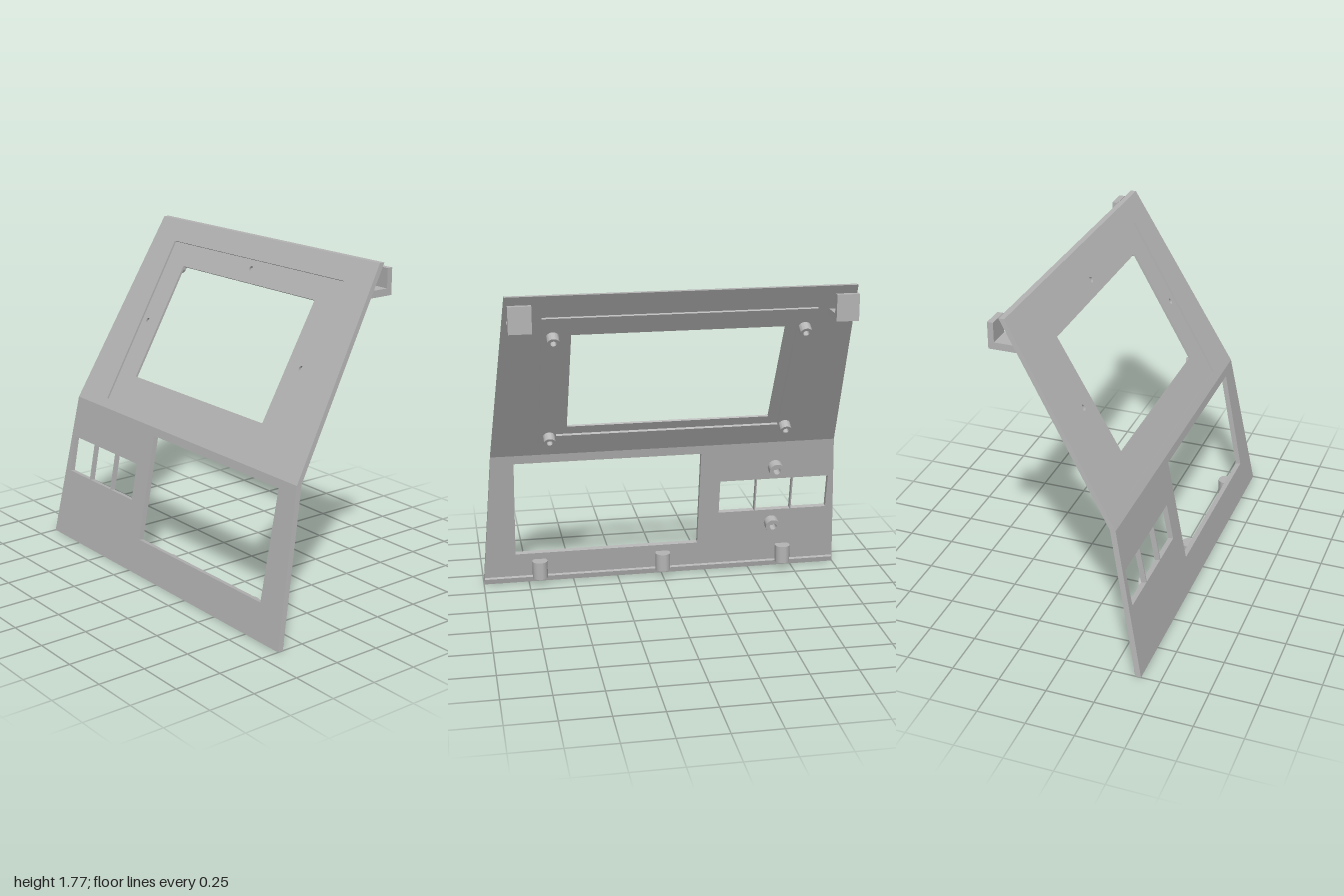
import * as THREE from 'three';
import { toCreasedNormals } from 'three/addons/utils/BufferGeometryUtils.js';

// Side profile of the outer face as [y, z]
const BOTTOM = [0, 0.4], BEND = [0.79, 0.251], TOP = [1.77, -0.308];
const WALL = 0.029; // wall thickness measured along z

function rect(x0, x1, y0, y1, Type = THREE.Path) {
  const p = new Type();
  p.moveTo(x0, y0);
  p.lineTo(x1, y0);
  p.lineTo(x1, y1);
  p.lineTo(x0, y1);
  p.closePath();
  return p;
}

// Outward normal of a sloped section
function normalOf([a, b]) {
  const dy = b[0] - a[0], dz = b[1] - a[1], l = Math.hypot(dy, dz);
  return { y: -dz / l, z: dy / l };
}

// Point on a sloped section at height y and depth t behind its outer face
function onSection(section, x, y, t) {
  const [a, b] = section, n = normalOf(section);
  const z = a[1] + (b[1] - a[1]) * (y - a[0]) / (b[0] - a[0]);
  return new THREE.Vector3(x, y - n.y * t, z - n.z * t);
}

// Lay a front-view shape on a sloped section, between depths t0 and t1.
// Section ends are cut level; all other edges are cut square to the face.
function slab(shape, section, t0, t1) {
  const geo = new THREE.ExtrudeGeometry(shape, { depth: 1, bevelEnabled: false, curveSegments: 10 });
  const pos = geo.attributes.position, n = normalOf(section);
  for (let i = 0; i < pos.count; i++) {
    const x = pos.getX(i), y = pos.getY(i), t = t0 + (1 - pos.getZ(i)) * (t1 - t0);
    const p = onSection(section, x, y, t);
    if (section.some((e) => Math.abs(e[0] - y) < 1e-4)) {
      p.copy(onSection(section, x, y, 0));
      p.z -= t / n.z;
    }
    pos.setXYZ(i, p.x, p.y, p.z);
  }
  geo.computeVertexNormals();
  return geo;
}

// Hollow round boss, closed at its base and open at its tip
function bossGeometry(r, hole, length) {
  const pts = [[0, 0], [r, 0], [r, length], [hole, length], [hole, 0.015], [0, 0.015]];
  const lathe = new THREE.LatheGeometry(pts.map(([x, y]) => new THREE.Vector2(x, y)), 28);
  return toCreasedNormals(lathe, 0.6);
}

export function createModel() {
  const model = new THREE.Group();
  const grey = new THREE.MeshStandardMaterial({ color: 0xb4b4b4 });
  grey.name = 'plain grey';
  const add = (name, geo) => {
    const mesh = new THREE.Mesh(geo, grey);
    mesh.name = name;
    model.add(mesh);
    return mesh;
  };

  const lower = [BOTTOM, BEND], upper = [BEND, TOP];
  const halfWidth = (y) => 1 - 0.125 * y / TOP[0];
  const trapezoid = (y0, y1) => new THREE.Shape([
    new THREE.Vector2(-halfWidth(y0), y0), new THREE.Vector2(halfWidth(y0), y0),
    new THREE.Vector2(halfWidth(y1), y1), new THREE.Vector2(-halfWidth(y1), y1),
  ]);

  // Lower panel with one large opening and three switch openings
  const lowerShape = trapezoid(BOTTOM[0], BEND[0]);
  lowerShape.holes.push(rect(-0.2, 0.822, 0.185, 0.747));
  for (const [x0, x1] of [[-0.93, -0.729], [-0.722, -0.524], [-0.517, -0.315]]) {
    lowerShape.holes.push(rect(x0, x1, 0.37, 0.567));
  }
  add('lowerPanel', slab(lowerShape, lower, 0, WALL * normalOf(lower).z));

  // Upper panel with the cut-out for the screen frame
  const upperShape = trapezoid(BEND[0], TOP[0]);
  upperShape.holes.push(rect(-0.692, 0.692, 0.835, 1.662));
  add('upperPanel', slab(upperShape, upper, 0, WALL * normalOf(upper).z));

  // Screen frame: thin front with screw holes, thicker rim with a pocket behind
  const frameShape = rect(-0.692, 0.692, 0.835, 1.662, THREE.Shape);
  frameShape.holes.push(rect(-0.543, 0.543, 0.981, 1.553));
  for (const [x, y] of [[0, 1.618], [-0.645, 1.252], [0.645, 1.252]]) {
    const hole = new THREE.Path();
    hole.absarc(x, y, 0.014, 0, Math.PI * 2);
    frameShape.holes.push(hole);
  }
  add('screenFrame', slab(frameShape, upper, 0.01, 0.022));
  const rimShape = rect(-0.692, 0.692, 0.835, 1.662, THREE.Shape);
  rimShape.holes.push(rect(-0.6, 0.6, 0.935, 1.585));
  add('screenFrameRim', slab(rimShape, upper, 0.022, 0.036));

  // Bosses standing square to the back of a section
  const addBoss = (name, geo, section, x, y, t) => {
    const n = normalOf(section);
    const boss = add(name, geo);
    boss.position.copy(onSection(section, x, y, t));
    boss.quaternion.setFromUnitVectors(
      new THREE.Vector3(0, 1, 0), new THREE.Vector3(0, -n.y, -n.z));
  };
  const screenBoss = bossGeometry(0.032, 0.016, 0.06);
  for (const x of [-0.637, 0.637]) {
    for (const y of [0.934, 1.557]) addBoss('screenBoss', screenBoss, upper, x, y, 0.025);
  }
  const switchBoss = bossGeometry(0.041, 0.02, 0.062);
  for (const y of [0.291, 0.642]) addBoss('switchBoss', switchBoss, lower, -0.62, y, 0.02);

  // Upright posts along the bottom, open downwards
  const postGeo = bossGeometry(0.042, 0.02, 0.098);
  for (const x of [-0.69, 0, 0.69]) {
    const post = add('bottomPost', postGeo);
    post.position.set(x, 0.141, 0.318);
    post.rotation.x = Math.PI;
  }

  // Small lip along the inner bottom edge, drawn as [-z, y]
  const lip = new THREE.Shape([[-0.385, 0], [-0.368, 0], [-0.36, 0.03], [-0.364, 0.042], [-0.38, 0.042]]
    .map(([a, b]) => new THREE.Vector2(a, b)));
  const lipGeo = new THREE.ExtrudeGeometry(lip, { depth: 1.99, bevelEnabled: false });
  lipGeo.rotateY(Math.PI / 2).translate(-0.995, 0, 0);
  add('bottomLip', lipGeo);

  // L-shaped hooks behind the top corners, drawn as [-z, y]
  const hook = new THREE.Shape(
    [[0.238, 1.602], [0.4, 1.602], [0.4, 1.737], [0.37, 1.737], [0.37, 1.638], [0.26, 1.638]]
      .map(([a, b]) => new THREE.Vector2(a, b)));
  const hookGeo = new THREE.ExtrudeGeometry(hook, { depth: 0.115, bevelEnabled: false });
  hookGeo.rotateY(Math.PI / 2);
  for (const x of [-0.865, 0.75]) add('topHook', hookGeo).position.x = x;

  return model;
}
